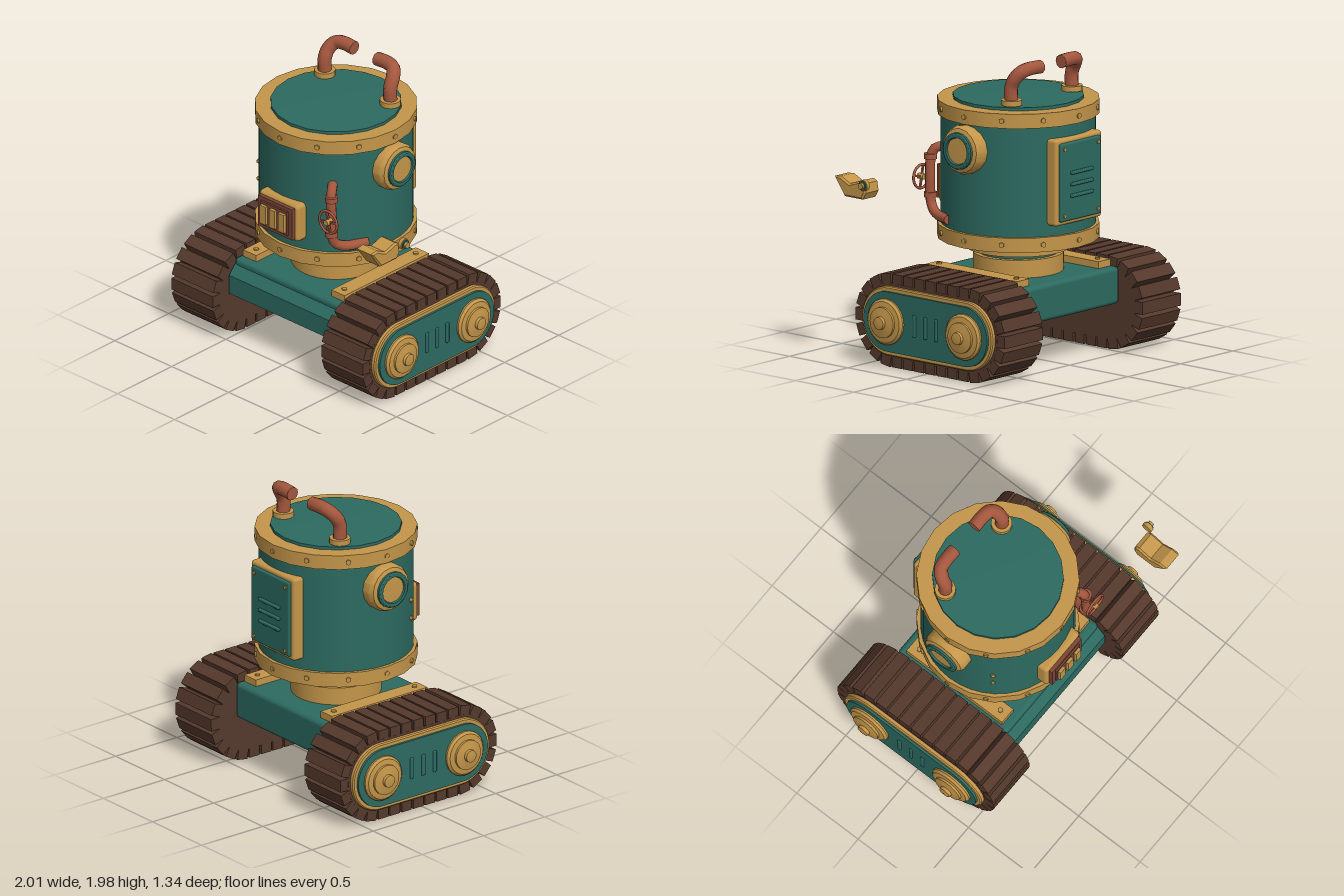
import * as THREE from 'three';
import { toCreasedNormals } from 'three/addons/utils/BufferGeometryUtils.js';
import { RoundedBoxGeometry } from 'three/addons/geometries/RoundedBoxGeometry.js';

const paint = (name, hex) => {
  const m = new THREE.MeshStandardMaterial({ color: hex });
  m.name = name;
  return m;
};
const teal = paint('teal', 0x2c6a60);
const gold = paint('brass', 0xc4964a);
const copper = paint('copper', 0xa5573e);
const rust = paint('rust', 0x7c4636);
const brown = paint('trackBrown', 0x55392c);

export function createModel() {
  const model = new THREE.Group();
  model.name = 'trackedBoilerRobot';
  const body = new THREE.Group();
  body.name = 'body';
  body.position.set(-0.035, 0, -0.03);
  model.add(body);

  const add = (parent, name, geo, mat, x = 0, y = 0, z = 0) => {
    const m = new THREE.Mesh(geo, mat);
    m.name = name;
    m.position.set(x, y, z);
    parent.add(m);
    return m;
  };
  const box = (w, h, d) => new THREE.BoxGeometry(w, h, d);
  const rbox = (w, h, d, r) => new RoundedBoxGeometry(w, h, d, 2, r);
  // profile is [radius, height] pairs from bottom to top
  const lathe = (profile, seg = 20) => toCreasedNormals(
    new THREE.LatheGeometry(profile.map(([r, y]) => new THREE.Vector2(r, y)), seg), 0.6);
  const latheX = (profile, seg) => lathe(profile, seg).rotateZ(-Math.PI / 2);
  const drum = (r, y0, y1, seg = 40) =>
    new THREE.CylinderGeometry(r, r, y1 - y0, seg).translate(0, (y0 + y1) / 2, 0);
  // shape is drawn in (-z, y) and extruded along +x
  const extrudeX = (shape, x0, x1, bevel = 0) => new THREE.ExtrudeGeometry(shape, {
    depth: x1 - x0 - 2 * bevel, curveSegments: 16, bevelEnabled: bevel > 0,
    bevelSize: bevel, bevelThickness: bevel, bevelOffset: -bevel, bevelSegments: 1,
  }).translate(0, 0, x0 + bevel).rotateY(Math.PI / 2);
  const tube = (pts, r, n = 24) => new THREE.TubeGeometry(
    new THREE.CatmullRomCurve3(pts.map((p) => new THREE.Vector3(...p))), n, r, 10);
  // tube with closed ends
  const pipe = (parent, name, pts, r) => {
    add(parent, name, tube(pts, r), copper);
    [[pts[0], pts[1]], [pts[pts.length - 1], pts[pts.length - 2]]].forEach(([end, prev]) => {
      const cap = add(parent, name + 'End', new THREE.CircleGeometry(r, 10), copper, ...end);
      const dir = new THREE.Vector3(...end).sub(new THREE.Vector3(...prev)).normalize();
      cap.quaternion.setFromUnitVectors(new THREE.Vector3(0, 0, 1), dir);
    });
  };

  // Chassis
  add(body, 'chassis', rbox(0.95, 0.245, 0.89, 0.03), teal, 0, 0.432, 0);
  const nose = new THREE.Shape([[-0.38, 0.32], [-0.5, 0.32], [-0.5, 0.45], [-0.42, 0.54], [-0.38, 0.54]]
    .map((p) => new THREE.Vector2(...p)).reverse());
  add(body, 'chassisNose', extrudeX(nose, -0.465, 0.465), teal);
  for (const s of [-1, 1]) {
    add(body, 'deckRail', box(0.115, 0.045, 0.78), gold, s * 0.388, 0.577, 0);
    for (const z of [-0.33, 0.33])
      add(body, 'railBolt', new THREE.CylinderGeometry(0.018, 0.018, 0.012, 6), gold, s * 0.388, 0.603, z);
  }

  // Tracks
  const half = 0.333, cy = 0.304, rTread = 0.27;
  const stadium = (r) => {
    const s = new THREE.Shape();
    s.absarc(half, cy, r, -Math.PI / 2, Math.PI / 2, false);
    s.absarc(-half, cy, r, Math.PI / 2, Math.PI * 1.5, false);
    s.closePath();
    return s;
  };
  const makeTrack = () => {
    const t = new THREE.Group();
    t.name = 'track';
    add(t, 'trackBand', extrudeX(stadium(0.242), 0.476, 0.842), brown);
    const straight = 2 * half, arc = Math.PI * rTread, count = 32;
    for (let i = 0; i < count; i++) {
      let d = ((i + 0.5) / count) * 2 * (straight + arc);
      const side = d < straight + arc ? 1 : -1;
      if (side < 0) d -= straight + arc;
      const a = d < straight ? 0 : (d - straight) / rTread;
      const u = d < straight ? d - half : half + rTread * Math.sin(a);
      const v = rTread * Math.cos(a);
      const plate = add(t, 'treadPlate', box(0.365, 0.068, 0.081), brown, 0.6585, cy + side * v, side * u);
      plate.rotation.x = a + (side < 0 ? Math.PI : 0);
    }
    add(t, 'sideRim', extrudeX(stadium(0.225), 0.83, 0.872, 0.008), gold);
    add(t, 'sidePanel', extrudeX(stadium(0.195), 0.86, 0.888), teal);
    for (const k of [-1, 0, 1])
      add(t, 'sideVent', rbox(0.02, 0.145, 0.028, 0.008), teal, 0.888, cy + 0.005, k * 0.093);
    for (const s of [-1, 1])
      add(t, 'wheelHub', latheX([[0.15, 0.87], [0.15, 0.9], [0.135, 0.915], [0.1, 0.92], [0.1, 0.935],
        [0.042, 0.945], [0.04, 0.965], [0, 0.972]], 24), gold, 0, cy, s * half);
    return t;
  };
  const leftTrack = makeTrack(), rightTrack = makeTrack();
  rightTrack.rotation.y = Math.PI;
  body.add(leftTrack, rightTrack);

  // Turntable and boiler drum
  add(body, 'turntable', drum(0.29, 0.55, 0.67), gold);
  add(body, 'neck', drum(0.258, 0.66, 0.71), teal);
  add(body, 'collar', drum(0.33, 0.7, 0.78), gold);
  add(body, 'boiler', drum(0.495, 0.85, 1.6), teal);
  add(body, 'lowerRim', drum(0.52, 0.77, 0.865, 20), gold);
  add(body, 'upperRim', drum(0.52, 1.58, 1.675, 20), gold);
  add(body, 'lid', lathe([[0.42, 1.66], [0.42, 1.695], [0.3, 1.698], [0, 1.702]]), teal);
  for (const y of [0.818, 1.628])
    for (let i = 0; i < 12; i++) {
      const a = (i * Math.PI) / 6;
      const r = add(body, 'rimRivet', new THREE.CylinderGeometry(0.018, 0.018, 0.02, 6).rotateX(Math.PI / 2),
        gold, 0.515 * Math.sin(a), y, 0.515 * Math.cos(a));
      r.rotation.y = a;
    }

  // Exhaust pipes
  for (const s of [-1, 1]) {
    add(body, 'exhaustBase', lathe([[0.05, 1.67], [0.05, 1.7], [0.068, 1.7], [0.068, 1.735], [0, 1.736]], 16),
      gold, s * 0.288, 0, -0.2);
    pipe(body, 'exhaustPipe', [[s * 0.288, 1.7, -0.2], [s * 0.288, 1.82, -0.2], [s * 0.282, 1.88, -0.23],
      [s * 0.25, 1.922, -0.265], [s * 0.19, 1.932, -0.275], [s * 0.1, 1.928, -0.275]], 0.045);
  }

  // Side portholes
  for (const s of [-1, 1]) {
    const port = new THREE.Group();
    port.name = 'porthole';
    port.position.y = 1.415;
    port.rotation.y = s > 0 ? 0 : Math.PI;
    add(port, 'portholeFrame', latheX([[0.157, 0.43], [0.16, 0.53], [0.145, 0.56], [0.115, 0.572], [0, 0.572]], 16), gold);
    add(port, 'portholeRing', latheX([[0.12, 0.56], [0.12, 0.585], [0.11, 0.592], [0.09, 0.592], [0.083, 0.575]], 20), teal);
    add(port, 'portholeGlass', latheX([[0.085, 0.565], [0.085, 0.58], [0, 0.582]], 20), gold);
    body.add(port);
  }

  // Front grille
  add(body, 'grilleFrame', rbox(0.348, 0.268, 0.13, 0.03), gold, 0, 1.067, 0.473);
  add(body, 'grilleFrameInner', box(0.3, 0.22, 0.08), rust, 0, 1.067, 0.523);
  add(body, 'grillePanel', box(0.235, 0.17, 0.02), rust, 0, 1.067, 0.565);
  for (const k of [-1, 0, 1])
    add(body, 'grilleBar', box(0.05, 0.13, 0.03), gold, k * 0.08, 1.068, 0.58);

  // Small studs on the front right of the boiler
  for (const y of [1.215, 1.09])
    add(body, 'stud', new THREE.OctahedronGeometry(0.02), gold, -0.408, y, 0.285);

  // Front pipe with valve wheel
  pipe(body, 'valvePipe', [[0.315, 1.352, 0.36], [0.345, 1.34, 0.4], [0.36, 1.28, 0.425], [0.367, 1.15, 0.425],
    [0.367, 1.03, 0.425], [0.372, 0.965, 0.405], [0.4, 0.925, 0.34], [0.455, 0.918, 0.19]], 0.032);
  for (const y of [1.285, 1.035])
    add(body, 'pipeCollar', new THREE.CylinderGeometry(0.042, 0.042, 0.035, 12), copper, 0.364, y, 0.425);
  const wheel = new THREE.Group();
  wheel.name = 'valveWheel';
  wheel.position.set(0.388, 1.148, 0.48);
  add(wheel, 'wheelRing', new THREE.TorusGeometry(0.077, 0.009, 8, 24), copper);
  for (let i = 0; i < 2; i++)
    add(wheel, 'wheelSpoke', box(0.15, 0.013, 0.012), copper).rotation.z = (i * Math.PI) / 2 + 0.2;
  add(wheel, 'wheelHub', new THREE.CylinderGeometry(0.02, 0.02, 0.05, 10).rotateX(Math.PI / 2), gold);
  body.add(wheel);

  // Back hatch
  add(body, 'hatchFrame', rbox(0.44, 0.565, 0.09, 0.02), gold, 0, 1.218, -0.475);
  add(body, 'hatchPanel', rbox(0.385, 0.51, 0.05, 0.012), teal, 0, 1.218, -0.515);
  for (const k of [-1, 0, 1])
    add(body, 'hatchVent', rbox(0.21, 0.022, 0.03, 0.008), teal, 0, 1.2 + k * 0.075, -0.543);
  for (const x of [-0.16, 0.16])
    for (const y of [1.0, 1.435])
      add(body, 'hatchRivet', new THREE.CylinderGeometry(0.013, 0.013, 0.014, 8).rotateX(Math.PI / 2), gold, x, y, -0.541);

  // Detached side spout with knob
  const spout = new THREE.Shape([[-0.7, 1.215], [-0.615, 1.095], [-0.46, 1.095], [-0.435, 1.14], [-0.445, 1.2],
    [-0.475, 1.215], [-0.57, 1.185], [-0.645, 1.222]].map((p) => new THREE.Vector2(...p)));
  add(body, 'spout', extrudeX(spout, 0.837, 0.98, 0.012), gold);
  const knob = (name, r, x0, x1, mat) => add(body, name,
    new THREE.CylinderGeometry(r, r, x1 - x0, 14).rotateZ(Math.PI / 2), mat, (x0 + x1) / 2, 1.198, 0.425);
  knob('knobBase', 0.037, 0.985, 1.01, gold);
  knob('knobRing', 0.03, 1.008, 1.018, teal);
  knob('knobTip', 0.02, 1.015, 1.035, gold);
  return model;
}
